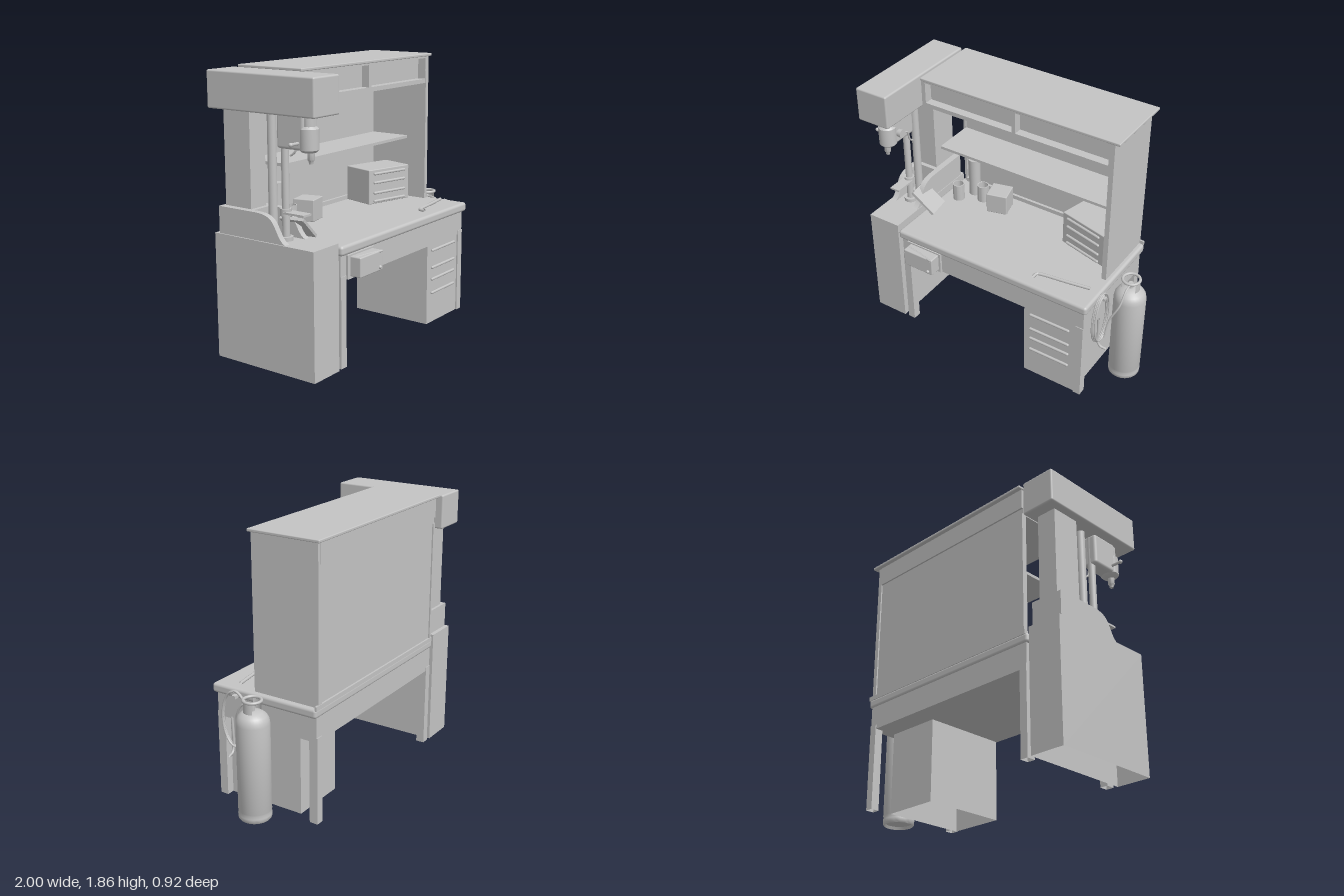
import * as THREE from 'three';
import { RoundedBoxGeometry } from 'three/addons/geometries/RoundedBoxGeometry.js';
import { toCreasedNormals } from 'three/addons/utils/BufferGeometryUtils.js';

export function createModel() {
  const root = new THREE.Group();
  root.name = 'workbench';
  const grey = new THREE.MeshStandardMaterial({ color: 0xc4c4c4, side: THREE.DoubleSide });
  grey.name = 'plain grey';
  const V = (x, y, z) => new THREE.Vector3(x, y, z);

  const add = (name, geo, parent = root) => {
    const m = new THREE.Mesh(geo, grey);
    m.name = name;
    parent.add(m);
    return m;
  };
  const group = (name, x, y, z, ry = 0) => {
    const g = new THREE.Group();
    g.name = name;
    g.position.set(x, y, z);
    g.rotation.y = ry;
    root.add(g);
    return g;
  };
  // box from its limits; r rounds the edges, open removes the underside
  const box = (name, x0, x1, y0, y1, z0, z1, { r = 0, open = false, parent = root } = {}) => {
    const s = [x1 - x0, y1 - y0, z1 - z0];
    const g = r ? new RoundedBoxGeometry(...s, 2, r) : new THREE.BoxGeometry(...s);
    if (open) g.setIndex([...g.index.array].filter((_, i) => i < 18 || i >= 24));
    const m = add(name, g, parent);
    m.position.set((x0 + x1) / 2, (y0 + y1) / 2, (z0 + z1) / 2);
    return m;
  };
  const cyl = (name, x, y0, y1, z, r, rTop = r, parent = root) => {
    const m = add(name, new THREE.CylinderGeometry(rTop, r, y1 - y0, 24), parent);
    m.position.set(x, (y0 + y1) / 2, z);
    return m;
  };
  const tube = (name, pts, r, n = 40, closed = false) =>
    add(name, new THREE.TubeGeometry(new THREE.CatmullRomCurve3(pts.map(p => V(...p)), closed), n, r, 8, closed));
  const lathe = (name, pts, x, z, parent = root) => {
    const g = toCreasedNormals(new THREE.LatheGeometry(pts.map(p => new THREE.Vector2(...p)), 32), 0.7);
    const m = add(name, g, parent);
    m.position.set(x, 0, z);
    return m;
  };
  const bar = (name, x0, x1, y, z, parent = root) => {
    const m = add(name, new THREE.CapsuleGeometry(0.01, x1 - x0 - 0.02, 4, 10), parent);
    m.rotation.z = Math.PI / 2;
    m.position.set((x0 + x1) / 2, y, z);
  };

  // ---- bench ----
  box('tableTop', -0.725, 0.78, 0.735, 0.8, -0.43, 0.375, { r: 0.02 });
  box('tableBackLip', -0.71, 0.775, 0.79, 0.82, -0.433, -0.42);
  box('apron', -0.71, 0.755, 0.57, 0.74, -0.42, 0.35);
  for (const x of [-0.71, 0.7]) {
    box('frontLeg', x, x + 0.055, 0, 0.6, 0.295, 0.355, { open: true });
    box('backLeg', x, x + 0.055, 0, 0.6, -0.425, -0.365, { open: true });
  }
  box('drawerCabinet', 0.3, 0.7, 0, 0.575, -0.26, 0.345, { open: true });
  for (const y of [0.53, 0.405, 0.32, 0.22]) bar('drawerHandle', 0.345, 0.655, y, 0.353);

  // ---- small box hung under the front edge ----
  box('hangingBoxPlate', -0.655, -0.375, 0.575, 0.73, 0.35, 0.368);
  const hung = group('hangingBox', -0.51, 0, 0.36, 0);
  box('hangingBoxBody', -0.12, 0.12, 0.59, 0.72, 0, 0.085, { r: 0.008, parent: hung });
  const knob = add('hangingBoxKnob', new THREE.SphereGeometry(0.012, 12, 8), hung);
  knob.position.set(0.085, 0.615, 0.088);
  tube('hangingBoxRod', [[-0.62, 0.715, 0.4], [-0.5, 0.715, 0.42], [-0.4, 0.715, 0.445]], 0.008, 8);

  // ---- upper hutch ----
  box('hutchTop', -0.705, 0.78, 1.84, 1.86, -0.46, 0.06, { r: 0.006 });
  box('hutchRightSide', 0.712, 0.745, 0.8, 1.84, -0.43, 0.055);
  box('hutchLeftPost', -0.7, -0.68, 0.8, 1.66, -0.43, -0.395);
  box('hutchBack', -0.69, 0.72, 0.8, 1.72, -0.42, -0.405);
  box('hutchBackStrip', -0.7, 0.72, 1.7, 1.84, -0.432, -0.4);
  box('hutchBackRail', -0.68, 0.712, 0.8, 0.83, -0.405, -0.385);
  box('hutchShelf', -0.685, 0.712, 1.235, 1.255, -0.405, -0.1);
  box('hutchShelfRail', -0.685, 0.712, 1.215, 1.235, -0.405, -0.385);
  // overhead cupboard with two shallow recesses
  const front = new THREE.Shape();
  front.moveTo(-0.7, 1.65).lineTo(0.73, 1.65).lineTo(0.73, 1.84).lineTo(-0.7, 1.84).closePath();
  for (const [a, b] of [[-0.67, 0.01], [0.035, 0.705]]) {
    const h = new THREE.Path();
    h.moveTo(a, 1.68).lineTo(a, 1.828).lineTo(b, 1.828).lineTo(b, 1.68).closePath();
    front.holes.push(h);
  }
  add('cupboardFront', new THREE.ExtrudeGeometry(front, { depth: 0.06, bevelEnabled: false })).position.z = -0.007;
  box('cupboardBody', -0.7, 0.73, 1.65, 1.84, -0.42, -0.007);

  // ---- drill press stand ----
  box('standCabinet', -0.985, -0.74, 0, 0.825, -0.43, 0.36, { open: true });
  box('standBase', -0.975, -0.745, 0.825, 1.0, -0.4, -0.14);
  const bracket = new THREE.Shape();
  bracket.moveTo(-0.15, 0.825).lineTo(-0.15, 1.0).lineTo(-0.1, 1.0);
  bracket.bezierCurveTo(0.03, 1.0, 0.04, 0.95, 0.07, 0.9);
  bracket.quadraticCurveTo(0.1, 0.84, 0.135, 0.825).closePath();
  for (const x of [-0.975, -0.785]) {
    const b = add('standBracket', new THREE.ExtrudeGeometry(bracket, { depth: 0.04, bevelEnabled: false }));
    b.rotation.y = -Math.PI / 2;
    b.position.x = x + 0.04;
  }
  box('standColumn', -0.93, -0.79, 0.9, 1.65, -0.38, -0.17);
  box('drillHousing', -0.985, -0.74, 1.61, 1.848, -0.465, 0.375, { r: 0.012 });
  cyl('drillPole', -0.863, 0.825, 1.62, 0.052, 0.024);
  cyl('drillRearPole', -0.863, 0.825, 1.62, -0.05, 0.028);
  cyl('drillPoleFoot', -0.863, 0.825, 0.85, 0.052, 0.045);
  cyl('tableClamp', -0.863, 0.98, 1.025, 0.052, 0.036);
  box('drillTable', -0.9, -0.825, 0.995, 1.008, 0.06, 0.22);

  // drill head
  lathe('drillQuill', [[0, 1.385], [0.045, 1.39], [0.06, 1.405], [0.06, 1.53], [0.045, 1.545], [0.045, 1.62]], -0.863, 0.24);
  box('drillBody', -0.918, -0.808, 1.4, 1.62, 0.03, 0.24, { r: 0.02 });
  lathe('drillChuck', [[0, 1.32], [0.013, 1.32], [0.015, 1.335], [0.022, 1.345], [0.022, 1.4]], -0.863, 0.253);
  const hub = add('feedHub', new THREE.CylinderGeometry(0.025, 0.03, 0.05, 20));
  hub.rotation.z = Math.PI / 2;
  hub.position.set(-0.8, 1.475, 0.19);
  tube('feedLever', [[-0.8, 1.455, 0.15], [-0.8, 1.44, 0.11], [-0.805, 1.37, 0.085], [-0.81, 1.34, 0.05]], 0.007, 16);
  tube('sideHandle', [[-0.9, 1.445, 0.2], [-0.95, 1.445, 0.2], [-0.99, 1.445, 0.2]], 0.01, 6);
  const grip = add('sideHandleGrip', new THREE.SphereGeometry(0.014, 12, 8));
  grip.position.set(-0.986, 1.445, 0.2);

  // ---- things on the bench ----
  const hollow = (r, y) => [[0, 0.8], [r, 0.8], [r, y], [r - 0.007, y], [r - 0.007, 0.83], [0, 0.83]];
  lathe('leftMug', hollow(0.042, 0.925), -0.603, -0.18);
  lathe('rightMug', hollow(0.042, 0.925), -0.443, -0.26);
  cyl('tallCanister', -0.543, 0.8, 1.09, -0.3, 0.042);
  const cube = group('cubeBox', -0.285, 0.8, -0.24, 0.25);
  box('cubeBoxBody', -0.075, 0.075, 0, 0.15, -0.075, 0.075, { r: 0.006, parent: cube });
  const book = group('leaningPanel', -0.72, 0.877, 0.03, 0.15);
  box('panelPlate', -0.105, 0.105, -0.01, 0.01, -0.085, 0.085, { parent: book }).rotation.z = -0.72;

  const chest = group('smallDrawerChest', 0.508, 0.8, -0.22, -0.25);
  box('chestBody', -0.19, 0.19, 0, 0.25, -0.125, 0.125, { r: 0.006, parent: chest });
  for (const y of [0.22, 0.155, 0.08, 0.02]) bar('chestHandle', -0.15, 0.15, y, 0.13, chest);

  tube('benchRod', [[0.335, 0.812, 0.295], [0.34, 0.812, 0.255], [0.37, 0.812, 0.245], [0.55, 0.812, 0.22], [0.71, 0.812, 0.195]], 0.011);

  // ---- gas cylinder ----
  lathe('gasCylinder', [[0.09, 0.02], [0.1, 0], [0.108, 0.01], [0.11, 0.035], [0.105, 0.055], [0.109, 0.065], [0.109, 0.66],
    [0.104, 0.69], [0.09, 0.715], [0.065, 0.735], [0.03, 0.745], [0, 0.745]], 0.887, -0.033);
  lathe('cylinderBase', [[0, 0.03], [0.09, 0.02]], 0.887, -0.033);
  cyl('cylinderValve', 0.887, 0.74, 0.785, -0.033, 0.016);
  const ring = add('guardRing', new THREE.TorusGeometry(0.058, 0.01, 10, 32));
  ring.rotation.x = Math.PI / 2;
  ring.position.set(0.887, 0.813, -0.033);
  for (const s of [-1, 1]) {
    const g = add('guardPost', new THREE.CylinderGeometry(0.06, 0.06, 0.09, 12, 1, true, s * Math.PI / 2 - 0.6, 1.2));
    g.position.set(0.887, 0.77, -0.033);
  }

  // ---- hose coil and torch ----
  box('hoseHook', 0.755, 0.815, 0.745, 0.765, 0.16, 0.19);
  const coil = [];
  for (let i = 0; i <= 48; i++) {
    const a = Math.PI / 2 + i / 48 * Math.PI * 6, k = 1 - 0.05 * Math.sin(i * 0.35);
    coil.push([0.775 + i * 0.0006, 0.585 + 0.195 * k * Math.sin(a), 0.18 + 0.1 * k * Math.cos(a)]);
  }
  tube('hoseCoil', coil, 0.007, 180);
  tube('hoseLead', [[0.887, 0.775, -0.033], [0.89, 0.765, 0.04], [0.88, 0.67, 0.1], [0.83, 0.55, 0.13], [0.808, 0.4, 0.15]], 0.007);
  tube('torch', [[0.79, 0.6, 0.21], [0.79, 0.48, 0.205], [0.79, 0.4, 0.205], [0.81, 0.36, 0.2], [0.85, 0.35, 0.195]], 0.009);

  return root;
}
